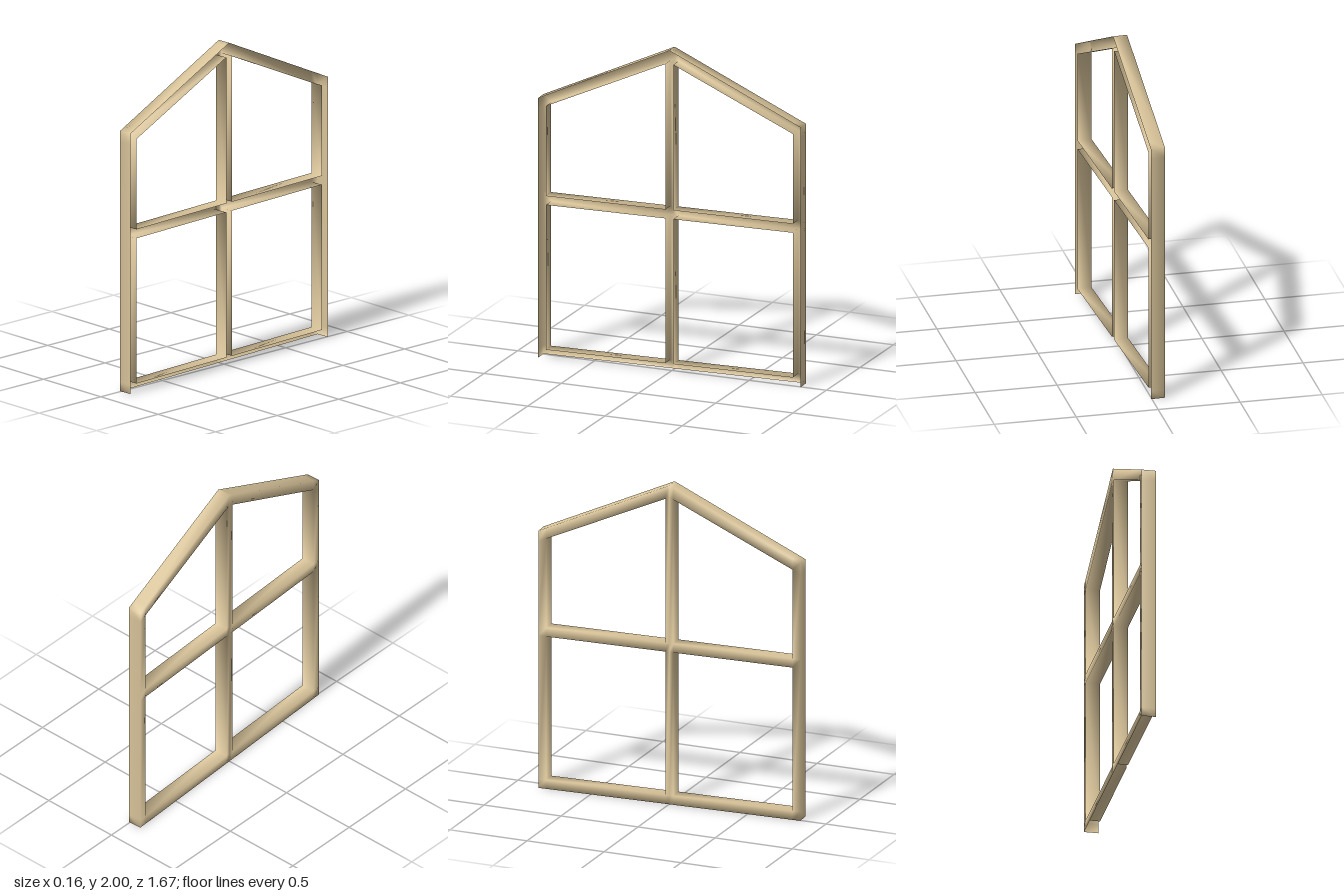
import * as THREE from 'three';

const DEPTH = 0.087;
// Column positions across the frame (outer jamb, opening edges, ridge)
const COLS = [-0.835, -0.785, -0.025, 0, 0.025, 0.785, 0.835];
// Sill, middle rail, then the sloping inner and outer roof lines
const ROWS = [
  () => 0,
  () => 0.055,
  () => 0.955,
  () => 1.01,
  (z) => 1.926 - 0.454 * Math.abs(z),
  (z) => 2 - 0.463 * Math.abs(z),
];
const isOpening = (c, r) => (c === 1 || c === 4) && (r === 1 || r === 3);

// Channel-section frame: a face plate with walls folded back along every edge
function frameGeometry() {
  const nc = COLS.length, nr = ROWS.length, layer = nc * nr;
  const positions = [];
  for (const x of [-DEPTH / 2, DEPTH / 2])
    for (const row of ROWS)
      for (const z of COLS) positions.push(x, row(z), z);

  const index = [], quads = [];
  const quad = (list, a, b, c, d) => list.push(a, b, c, a, c, d);
  for (let r = 0; r < nr - 1; r++)
    for (let c = 0; c < nc - 1; c++) {
      if (isOpening(c, r)) continue;
      const a = r * nc + c;
      quads.push([a, a + 1, a + nc + 1, a + nc]);
    }
  quads.forEach((q) => quad(index, ...q));

  // Walls stand on edges that belong to a single plate cell
  const edges = new Set();
  quads.forEach((q) => q.forEach((a, i) => edges.add(a + '_' + q[(i + 1) % 4])));
  const underside = [];
  for (const edge of edges) {
    const [a, b] = edge.split('_').map(Number);
    if (edges.has(b + '_' + a)) continue;
    const onFloor = a < nc && b < nc;
    quad(onFloor ? underside : index, b, a, a + layer, b + layer);
  }

  const geometry = new THREE.BufferGeometry();
  geometry.setAttribute('position', new THREE.Float32BufferAttribute(positions, 3));
  // Soft normals roll under the sill, which itself stays open to the floor
  geometry.setIndex([...index, ...underside]);
  geometry.computeVertexNormals();
  geometry.setIndex(index);
  return geometry;
}

export function createModel() {
  const wood = new THREE.MeshStandardMaterial({ color: 0xd9c49a, side: THREE.DoubleSide });
  wood.name = 'pale wood';

  const frame = new THREE.Mesh(frameGeometry(), wood);
  frame.name = 'windowFrame';
  frame.rotation.y = THREE.MathUtils.degToRad(2.5);

  const model = new THREE.Group();
  model.name = 'gabledWindow';
  model.add(frame);
  return model;
}
